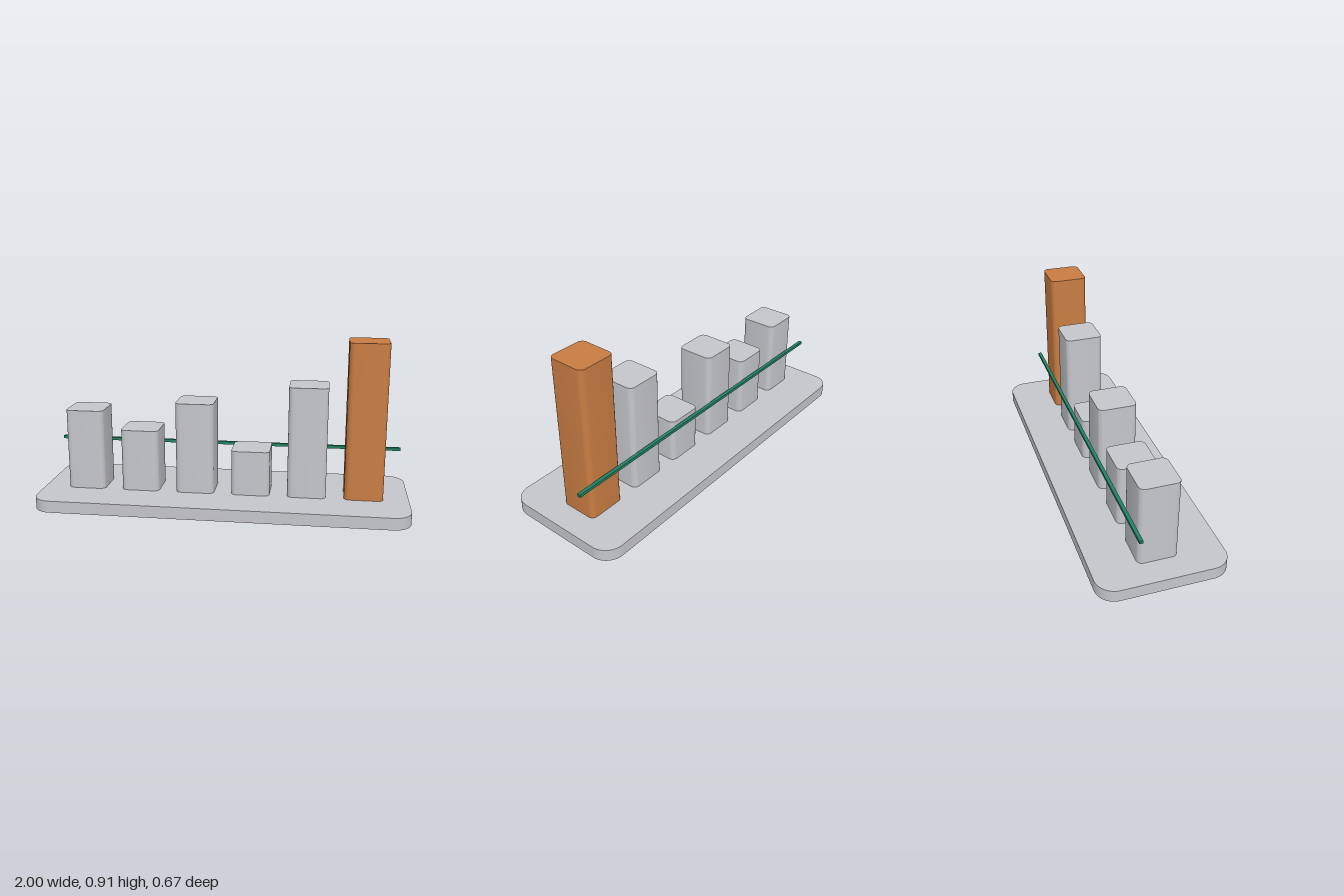
import * as THREE from 'three';
import { toCreasedNormals } from 'three/addons/utils/BufferGeometryUtils.js';

// Upright slab with rounded vertical edges, standing on y = 0
function roundedBlock(width, depth, height, radius) {
  const x = width / 2, z = depth / 2;
  const s = new THREE.Shape();
  s.moveTo(-x + radius, -z);
  s.lineTo(x - radius, -z);
  s.absarc(x - radius, -z + radius, radius, -Math.PI / 2, 0);
  s.lineTo(x, z - radius);
  s.absarc(x - radius, z - radius, radius, 0, Math.PI / 2);
  s.lineTo(-x + radius, z);
  s.absarc(-x + radius, z - radius, radius, Math.PI / 2, Math.PI);
  s.lineTo(-x, -z + radius);
  s.absarc(-x + radius, -z + radius, radius, Math.PI, Math.PI * 1.5);
  const geometry = new THREE.ExtrudeGeometry(s, { depth: height, bevelEnabled: false, curveSegments: 10 });
  geometry.rotateX(-Math.PI / 2);
  return toCreasedNormals(geometry, Math.PI / 5);
}

export function createModel() {
  const model = new THREE.Group();
  model.name = 'barChart';

  const material = (name, color) => {
    const m = new THREE.MeshStandardMaterial({ color });
    m.name = name;
    return m;
  };
  const grey = material('lightGrey', 0xc6c7cb);
  const orange = material('orange', 0xca7d43);
  const green = material('green', 0x238263);

  const add = (name, geometry, mat, x, y, z) => {
    const mesh = new THREE.Mesh(geometry, mat);
    mesh.name = name;
    mesh.position.set(x, y, z);
    model.add(mesh);
  };

  // Base plate
  const baseHeight = 0.065;
  add('base', roundedBlock(2, 0.672, baseHeight, 0.1), grey, 0, 0, 0);

  // Row of bars, the last one highlighted
  const tops = [0.507, 0.405, 0.563, 0.31, 0.667, 0.907];
  tops.forEach((top, i) => {
    const last = i === tops.length - 1;
    add(last ? 'highlightBar' : `bar${i + 1}`,
      roundedBlock(0.208, 0.208, top - baseHeight, 0.03),
      last ? orange : grey, (i - 2.5) * 0.304, baseHeight, 0);
  });

  // Reference line floating behind the bars
  add('referenceLine', new THREE.BoxGeometry(1.92, 0.016, 0.019), green, 0, 0.291, -0.128);

  return model;
}
